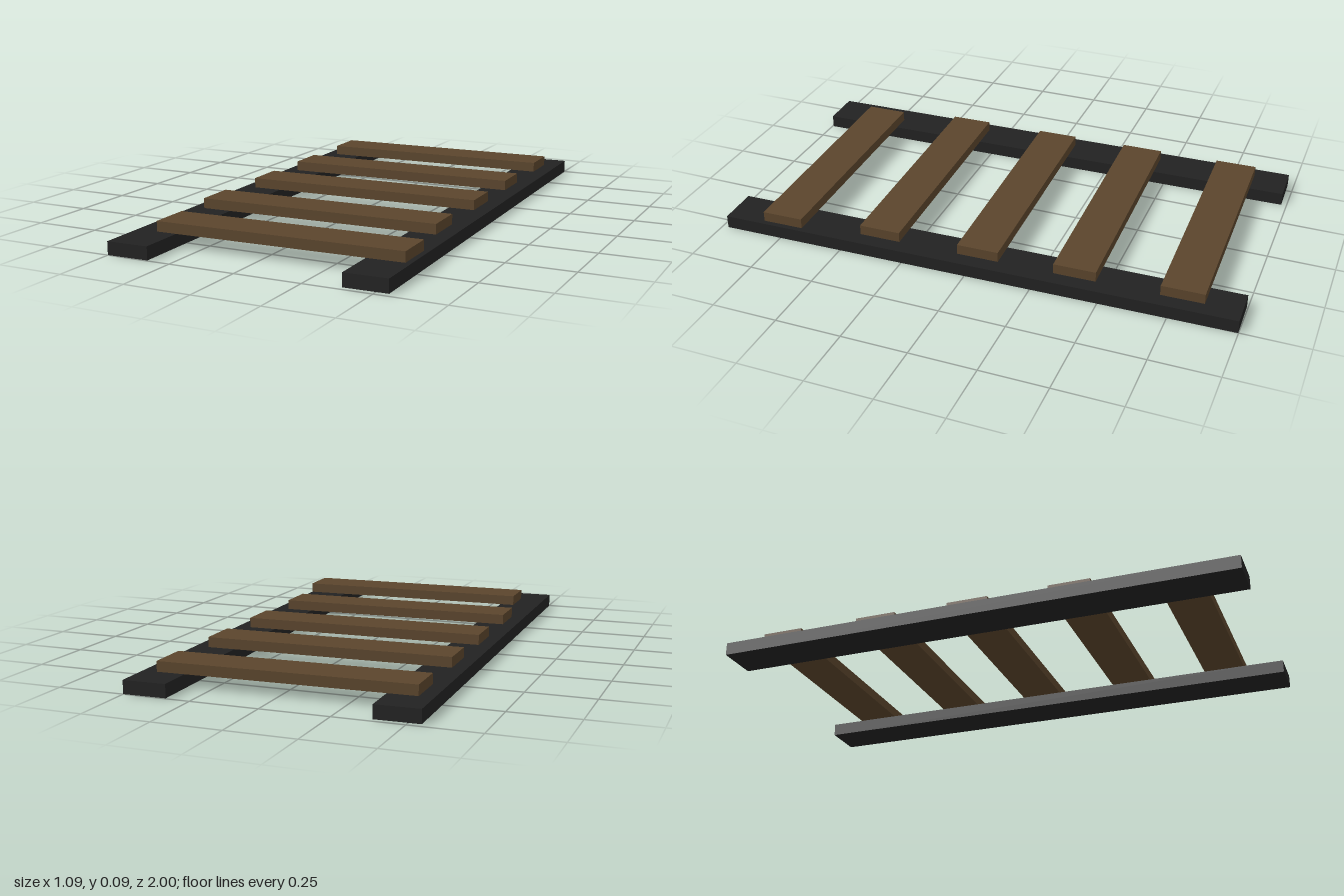
import * as THREE from 'three';

export function createModel() {
  const model = new THREE.Group();
  model.name = 'ladder';

  const railMaterial = new THREE.MeshStandardMaterial({ color: 0x222222 });
  railMaterial.name = 'charcoal';
  const rungMaterial = new THREE.MeshStandardMaterial({ color: 0x5b452c });
  rungMaterial.name = 'brown wood';

  // The whole ladder lies slightly turned about the vertical axis
  const frame = new THREE.Group();
  frame.name = 'ladderFrame';
  frame.rotation.y = 0.022;
  model.add(frame);

  function addPlank(name, size, position, material) {
    const plank = new THREE.Mesh(new THREE.BoxGeometry(...size), material);
    plank.name = name;
    plank.position.set(...position);
    frame.add(plank);
  }

  // Two long side rails on the ground
  for (const side of [-1, 1]) {
    addPlank(side > 0 ? 'leftRail' : 'rightRail',
      [0.16, 0.049, 1.975], [side * 0.4425, 0.0245, 0], railMaterial);
  }

  // Rungs from back to front; the front one is shifted sideways and sits loose
  const rungs = [
    [-0.003, 0.0695, -0.778],
    [-0.003, 0.0695, -0.387],
    [-0.003, 0.0695, -0.019],
    [-0.003, 0.0695, 0.37],
    [0.042, 0.0745, 0.751],
  ];
  rungs.forEach((position, i) =>
    addPlank(`rung${i + 1}`, [0.937, 0.038, 0.158], position, rungMaterial));

  return model;
}
